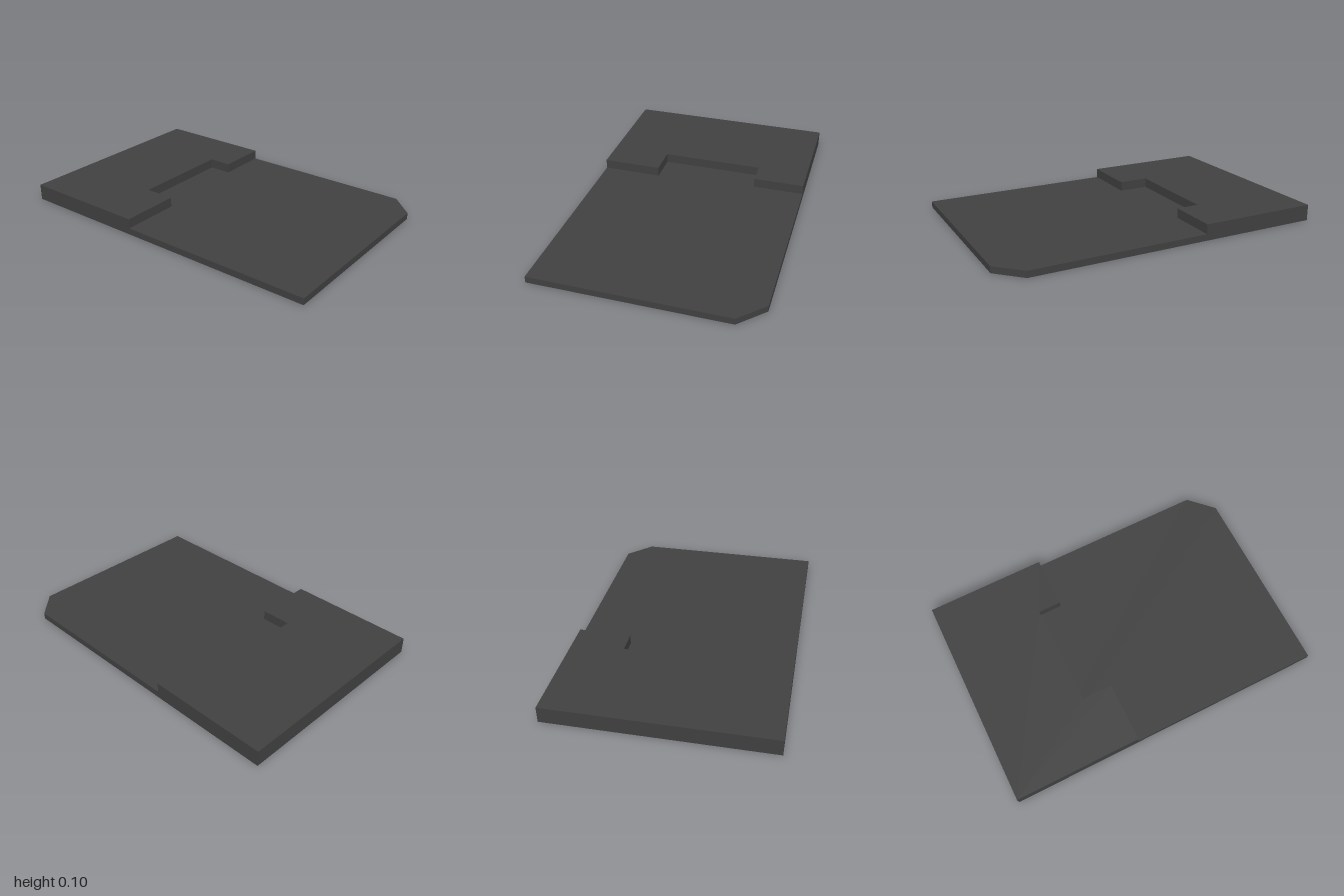
import * as THREE from 'three';

// Extrudes a floor-plan outline of [x, z] points upward from y0 to y1.
function slab(name, outline, y0, y1, material) {
  const shape = new THREE.Shape(outline.map(([x, z]) => new THREE.Vector2(x, -z)));
  const geometry = new THREE.ExtrudeGeometry(shape, { depth: y1 - y0, bevelEnabled: false });
  geometry.rotateX(-Math.PI / 2).translate(0, y0, 0);
  const mesh = new THREE.Mesh(geometry, material);
  mesh.name = name;
  return mesh;
}

export function createModel() {
  const group = new THREE.Group();
  group.name = 'steppedPlate';
  const charcoal = new THREE.MeshStandardMaterial({ color: 0x404040 });
  charcoal.name = 'charcoal';

  const halfDepth = 0.665;
  const step = 0.04;
  const top = 0.1;

  // Thin plate with one chamfered back corner
  group.add(slab('basePlate', [
    [-1, halfDepth], [1, halfDepth], [1, -0.52], [0.855, -halfDepth], [-1, -halfDepth],
  ], 0, step, charcoal));

  // Thicker end with a rectangular notch between two uneven arms
  group.add(slab('raisedEnd', [
    [-1, halfDepth], [-0.205, halfDepth], [-0.205, 0.295], [-0.395, 0.295],
    [-0.395, -0.345], [-0.25, -0.345], [-0.25, -halfDepth], [-1, -halfDepth],
  ], step, top, charcoal));

  return group;
}
